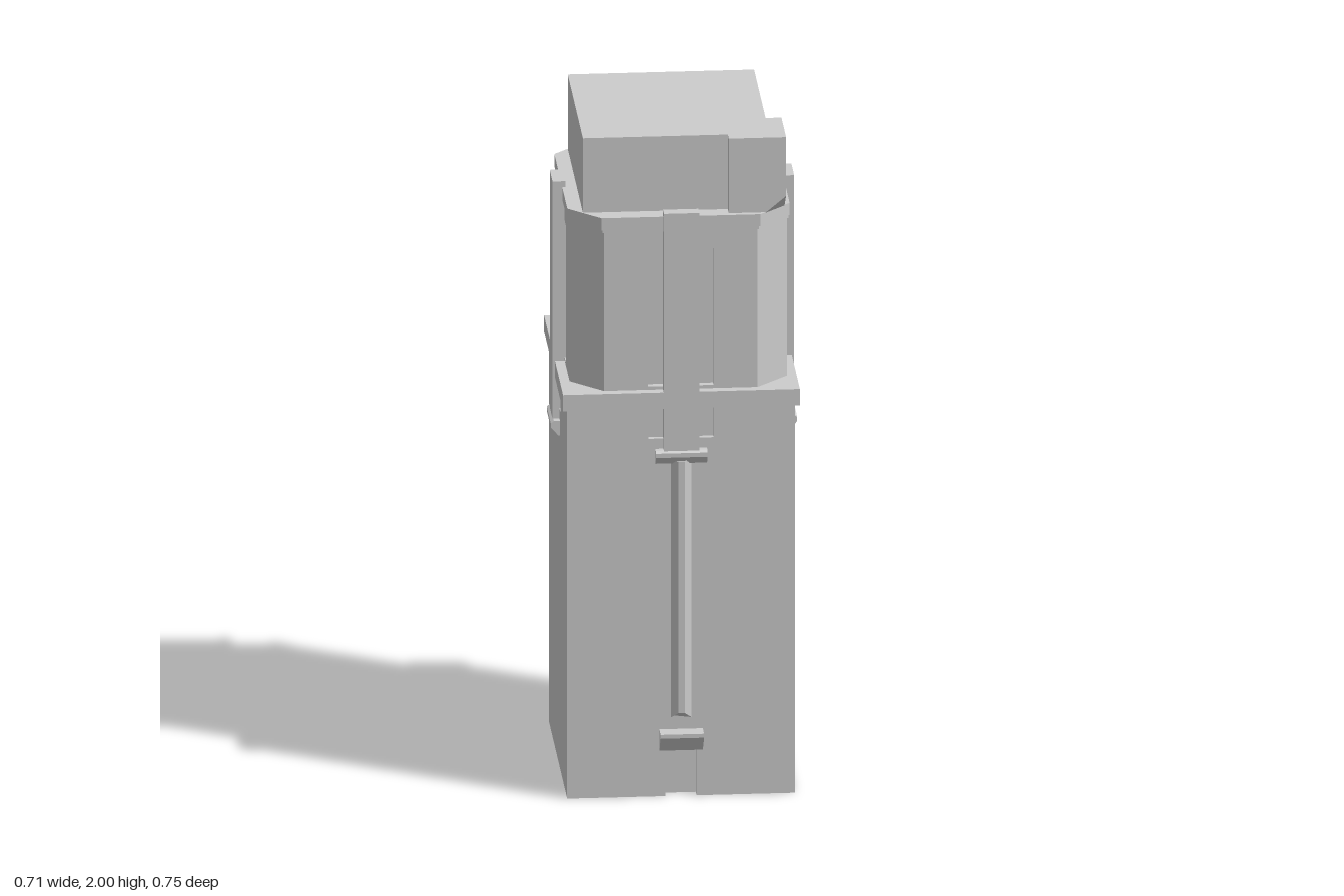
import * as THREE from 'three';
import { ConvexGeometry } from 'three/addons/geometries/ConvexGeometry.js';

const stone = new THREE.MeshStandardMaterial({ color: 0xcccccc });
stone.name = 'grey stone';

const CZ = -0.013; // plan centre along z
const BX = 0.33, BZ = 0.337; // half sizes of the lower shaft

function add(parent, name, geometry) {
  const mesh = new THREE.Mesh(geometry, stone);
  mesh.name = name;
  parent.add(mesh);
  return mesh;
}

const shapeOf = (pts) => new THREE.Shape(pts.map((p) => new THREE.Vector2(p[0], p[1])));

// Rectangular plan with chamfered corners and notches cut into chosen sides
// (side 0 = +x, 1 = back, 2 = -x, 3 = front), raised from y0 to y1
function storey(hx, hz, chamfer, y0, y1, notches = [], depth = 0, sides = [0, 1, 2, 3]) {
  const pts = [];
  for (let k = 0; k < 4; k++) {
    const c = Math.round(Math.cos(k * Math.PI / 2)), s = Math.round(Math.sin(k * Math.PI / 2));
    const hn = k % 2 ? hz : hx, ht = (k % 2 ? hx : hz) - chamfer;
    const put = (u, d) => pts.push([c * (hn - d) - s * u, s * (hn - d) + c * u]);
    put(-ht, 0);
    if (sides.includes(k)) {
      for (const [a, b] of notches) {
        put(a, 0); put(a, depth); put(b, depth); put(b, 0);
      }
    }
    if (chamfer > 0) put(ht, 0);
  }
  const g = new THREE.ExtrudeGeometry(shapeOf(pts), { depth: y1 - y0, bevelEnabled: false });
  return g.rotateX(-Math.PI / 2).translate(0, y0, 0);
}

// Profile given as (z, y), extruded to a width centred on x = 0
function moulding(profile, width) {
  const g = new THREE.ExtrudeGeometry(shapeOf(profile), { depth: width, bevelEnabled: false });
  return g.rotateY(-Math.PI / 2).translate(width / 2, 0, 0);
}

// Tapered rib on the wall plane z = 0, with a sloping lower end
function rib(y0, y1, half, tip, depth) {
  const shape = shapeOf([[-half, 0.01], [-half, 0], [-tip, -depth], [tip, -depth], [half, 0], [half, 0.01]]);
  const g = new THREE.ExtrudeGeometry(shape, { depth: y1 - y0, bevelEnabled: false });
  g.rotateX(-Math.PI / 2).translate(0, y0, 0);
  const p = g.attributes.position;
  for (let i = 0; i < p.count; i++) {
    if (p.getY(i) < y0 + 0.001 && p.getZ(i) > depth / 2) p.setY(i, y0 + 0.02);
  }
  g.computeVertexNormals();
  return g;
}

export function createModel() {
  const model = new THREE.Group();
  model.name = 'tower';
  const plan = new THREE.Group();
  plan.name = 'towerBody';
  plan.position.z = CZ;
  model.add(plan);

  const slits = [[-0.095, -0.05], [0.05, 0.095]];

  // Lower shaft: doorway notch at the foot, slits at the head
  add(plan, 'shaftFoot', storey(BX, BZ, 0, 0, 0.15, [[-0.045, 0.045]], 0.03, [3]));
  add(plan, 'shaft', storey(BX, BZ, 0, 0.15, 1.095));
  add(plan, 'shaftHead', storey(BX, BZ, 0, 1.095, 1.19, slits, 0.015));
  add(plan, 'ledge', storey(0.343, 0.35, 0, 1.19, 1.24));

  // Chamfered upper storey with tall slits
  const UX = 0.315, UZ = 0.323, CH = 0.092;
  add(plan, 'upperBase', storey(UX, UZ, CH, 1.23, 1.25));
  add(plan, 'upperStorey', storey(UX, UZ, CH, 1.25, 1.67, slits, 0.02));
  add(plan, 'upperHead', storey(UX, UZ, CH, 1.67, 1.735));
  add(plan, 'corniceFillet', storey(0.319, 0.327, CH, 1.725, 1.74));
  add(plan, 'cornice', storey(0.322, 0.33, CH, 1.735, 1.772));

  // Pilaster, bracket and rib on each side
  for (let k = 0; k < 4; k++) {
    const side = new THREE.Group();
    side.name = ['front', 'left', 'back', 'right'][k] + 'Trim';
    side.rotation.y = k * Math.PI / 2;
    plan.add(side);
    const wall = new THREE.Group();
    wall.name = 'wallTrim';
    wall.position.z = k % 2 ? BX : BZ;
    side.add(wall);
    add(wall, 'pilaster', new THREE.BoxGeometry(0.102, 0.73, 0.037).translate(0, 1.425, 0.0015));
    add(wall, 'bracket', moulding(
      [[-0.01, 1.02], [0.005, 1.02], [0.027, 1.045], [0.027, 1.058], [0.018, 1.064], [-0.01, 1.064]], 0.15));
    add(wall, 'rib', rib(0.24, 1.03, 0.03, 0.009, 0.02));
  }

  // Sloped hood above the doorway
  add(model, 'doorHood', moulding(
    [[0.31, 0.14], [0.326, 0.14], [0.373, 0.193], [0.373, 0.205], [0.31, 0.205]], 0.126));

  // Roof block, flaring outwards at the top of its +x face
  const roof = shapeOf([[-0.28, 1.77], [0.19, 1.77], [0.19, 1.88], [0.197, 1.91], [0.26, 2], [-0.28, 2]]);
  add(model, 'roofBlock', new THREE.ExtrudeGeometry(roof, { depth: 0.558, bevelEnabled: false })
    .translate(0, 0, -0.293));

  // Corner block with its lower outer corner cut away
  const x0 = 0.14, x1 = 0.306, z0 = 0.13, z1 = 0.301, y0 = 1.77, y1 = 2;
  add(model, 'cornerBlock', new ConvexGeometry([
    [x0, y1, z0], [x1, y1, z0], [x1, y1, z1], [x0, y1, z1],
    [x0, y0, z0], [x1, y0, z0], [x0, y0, z1],
    [x1, y0, z1 - 0.06], [x1 - 0.06, y0, z1], [x1, y0 + 0.05, z1],
  ].map((p) => new THREE.Vector3(...p))));

  return model;
}
